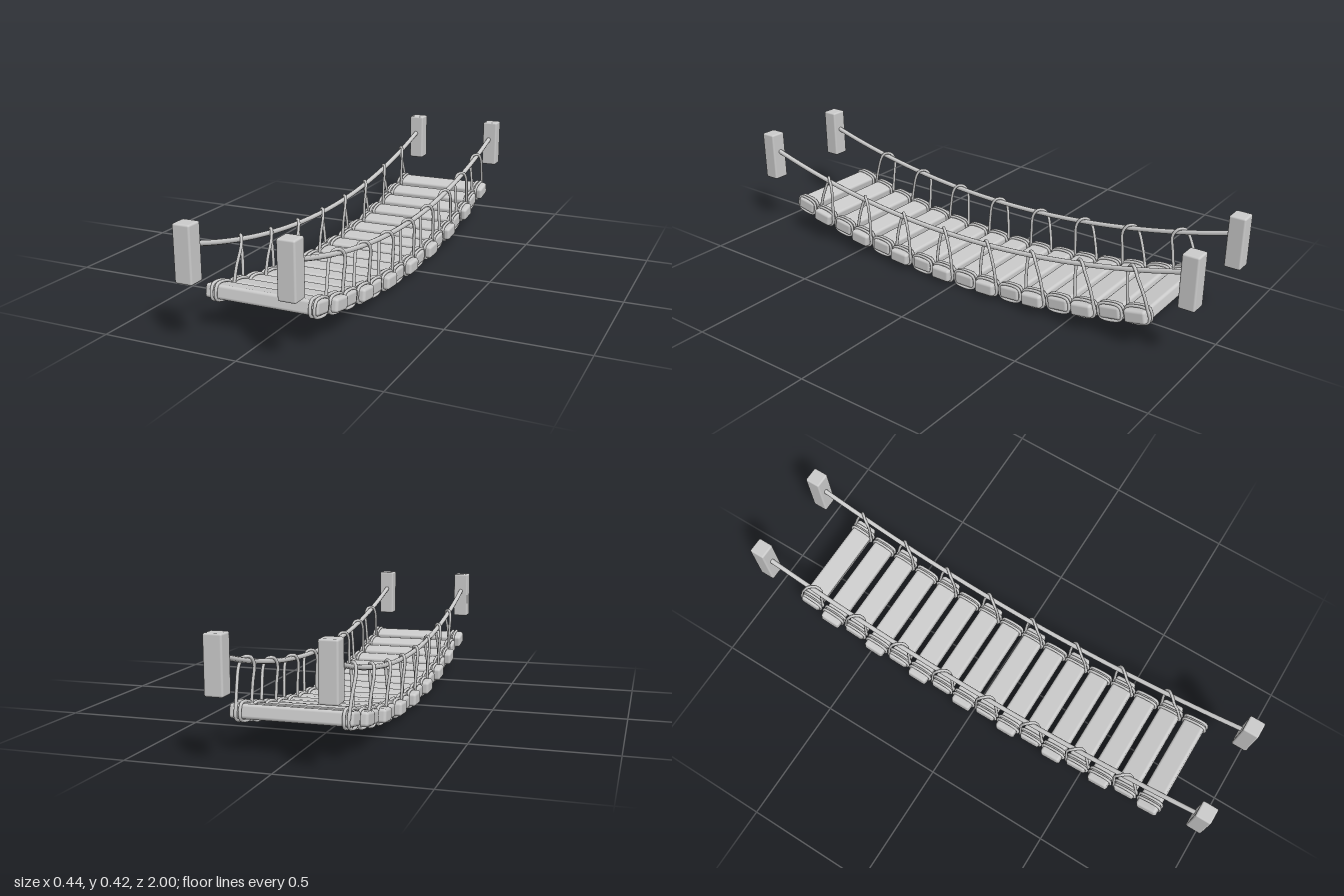
import * as THREE from 'three';
import { RoundedBoxGeometry } from 'three/addons/geometries/RoundedBoxGeometry.js';

const V = (x, y, z) => new THREE.Vector3(x, y, z);
const railY = z => 0.205 + 0.15 * z * z;
const deckY = z => 0.035 + 0.155 * z * z;
const RAIL_X = 0.182;

export function createModel() {
  const root = new THREE.Group();
  const mat = new THREE.MeshStandardMaterial({ color: 0xcccccc });

  const add = (name, geometry, parent = root) => {
    const m = new THREE.Mesh(geometry, mat);
    m.name = name;
    parent.add(m);
    return m;
  };
  const rope = (pts, r, closed, segs) =>
    new THREE.TubeGeometry(new THREE.CatmullRomCurve3(pts, closed, 'centripetal'), segs, r, 8, closed);

  // Corner posts
  const postGeo = new RoundedBoxGeometry(0.064, 0.197, 0.062, 2, 0.007);
  for (const x of [-0.181, 0.185])
    for (const z of [-0.969, 0.969]) add('post', postGeo).position.set(x, 0.3185, z);

  // Sagging hand ropes
  for (const s of [-1, 1]) {
    const pts = [];
    for (let i = 0; i <= 16; i++) {
      const z = -0.95 + (1.9 * i) / 16;
      pts.push(V(s * RAIL_X, railY(z), z));
    }
    add('handRope', rope(pts, 0.0095, false, 64));
  }

  // Lashing ring that hugs a plank's cross-section
  const hy = 0.0285, hz = 0.0445, c = 0.012;
  const ringGeo = rope([
    V(0, hy, -hz + c), V(0, hy, hz - c), V(0, hy - c, hz), V(0, -hy + c, hz),
    V(0, -hy, hz - c), V(0, -hy, -hz + c), V(0, -hy + c, -hz), V(0, hy - c, -hz),
  ], 0.0055, true, 48);
  const plankGeo = new RoundedBoxGeometry(0.42, 0.05, 0.084, 2, 0.011);

  for (let i = 0; i < 16; i++) {
    const z = -0.787 + i * 0.105;
    const y = deckY(z);

    // Staggered plank with two lashings on each side
    const plank = new THREE.Group();
    plank.name = 'plankWithLashings';
    plank.position.set(0, y, z);
    plank.rotation.x = -Math.atan(0.25 * z);
    root.add(plank);
    add('plank', plankGeo, plank).position.x = i % 2 ? -0.01 : 0.006;
    for (const s of [-1, 1])
      for (const x of [0.174, 0.19]) add('lashing', ringGeo, plank).position.x = s * x;

    // Hanger looped over the hand rope, on every second plank
    if (i % 2) continue;
    const zt = z * 0.96;
    const top = railY(zt);
    plank.updateMatrix();
    const foot = dz => V(0, 0, dz).applyMatrix4(plank.matrix);
    const f = foot(hz), b = foot(-hz);
    const mid = t => THREE.MathUtils.lerp(y, top, t);
    for (const s of [-1, 1]) {
      add('hanger', rope([
        V(s * 0.174, f.y, f.z),
        V(s * 0.171, mid(0.5), THREE.MathUtils.lerp(f.z, zt + 0.032, 0.5)),
        V(s * 0.166, top - 0.015, zt + 0.026),
        V(s * 0.172, top + 0.01, zt + 0.012),
        V(s * RAIL_X, top + 0.014, zt),
        V(s * 0.192, top + 0.01, zt - 0.012),
        V(s * 0.198, top - 0.015, zt - 0.026),
        V(s * 0.194, mid(0.5), THREE.MathUtils.lerp(b.z, zt - 0.032, 0.5)),
        V(s * 0.19, b.y, b.z),
      ], 0.0058, false, 40));
    }
  }
  return root;
}
